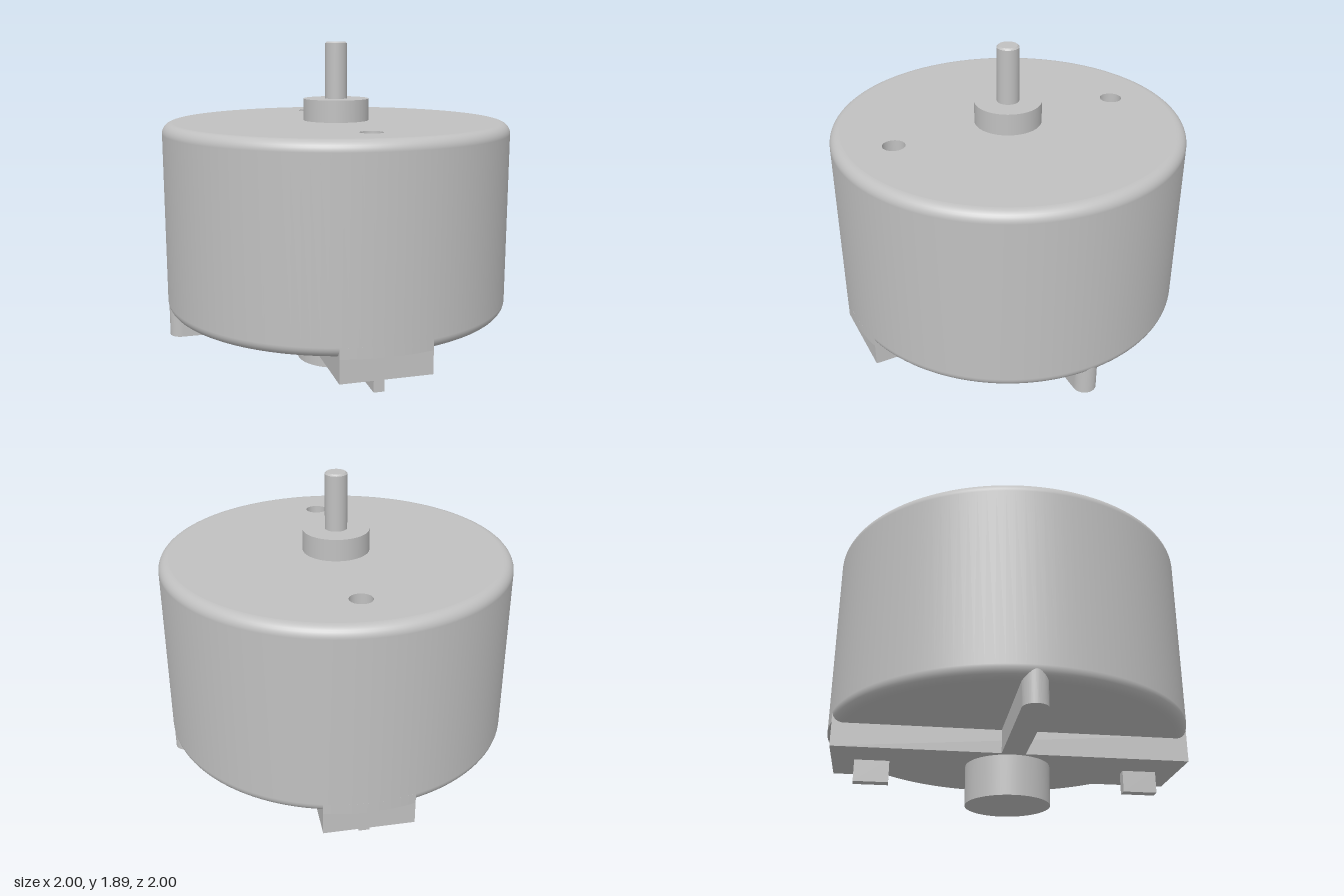
import * as THREE from 'three';

export function createModel() {
  const group = new THREE.Group();
  group.name = 'motor';
  const metal = new THREE.MeshStandardMaterial({ color: 0xc0c0c0 });
  metal.name = 'grey metal';

  const add = (name, geometry, x = 0, y = 0, z = 0) => {
    const mesh = new THREE.Mesh(geometry, metal);
    mesh.name = name;
    mesh.position.set(x, y, z);
    group.add(mesh);
    return mesh;
  };
  // Upright cylinder between two heights
  const post = (name, r, y0, y1) =>
    add(name, new THREE.CylinderGeometry(r, r, y1 - y0, 64), 0, (y0 + y1) / 2, 0);
  // Plan outline raised between two heights
  const slab = (name, shape, y0, y1, curveSegments) => {
    const g = new THREE.ExtrudeGeometry(shape, { depth: y1 - y0, bevelEnabled: false, curveSegments });
    g.rotateX(-Math.PI / 2);
    return add(name, g, 0, y0, 0);
  };

  // Can with rounded rims
  const bottom = 0.35, top = 1.44, rim = 0.06;
  const profile = [new THREE.Vector2(0, bottom), new THREE.Vector2(0.93, bottom)];
  const corner = (cy, from) => {
    for (let i = 0; i <= 8; i++) {
      const a = from + (i / 8) * Math.PI / 2;
      profile.push(new THREE.Vector2(1 - rim + rim * Math.cos(a), cy + rim * Math.sin(a)));
    }
  };
  corner(bottom + rim, -Math.PI / 2);
  corner(top - rim, 0);
  add('can', new THREE.LatheGeometry(profile, 128));

  // Top plate with two screw holes, and the floor under them
  const plate = new THREE.Shape().absarc(0, 0, 1 - rim, 0, Math.PI * 2);
  for (const s of [-1, 1]) {
    plate.holes.push(new THREE.Path().absarc(0, s * 0.685, 0.063, 0, Math.PI * 2, true));
  }
  slab('topPlate', plate, top - 0.1, top, 64);
  post('holeFloor', 0.9, top - 0.14, top - 0.1);

  // Bearing and shaft
  post('topBearing', 0.19, top - 0.02, 1.565);
  const shaft = [[0.063, 1.5], [0.063, 1.88], [0.063, 1.88], [0.053, 1.89], [0.053, 1.89], [0, 1.89]];
  add('shaft', new THREE.LatheGeometry(shaft.map(p => new THREE.Vector2(...p)), 40));
  post('bottomBearing', 0.235, 0, 0.23);

  // Wide arm of the base cross, with curved shoulders filling the lower rim
  add('wideArm', new THREE.BoxGeometry(0.5, 0.15, 1.936), 0, 0.295, 0);
  const half = Math.asin(0.25);
  const shoulder = new THREE.Shape()
    .absarc(0, 0, 1, Math.PI / 2 - half, Math.PI / 2 + half)
    .absarc(0, 0, 1, -Math.PI / 2 - half, -Math.PI / 2 + half);
  slab('armShoulders', shoulder, bottom, bottom + rim, 12);

  // Narrow arm with rounded ends
  const w = 0.065;
  const narrow = new THREE.Shape()
    .absarc(0.997 - w, 0, w, -Math.PI / 2, Math.PI / 2)
    .absarc(w - 0.997, 0, w, Math.PI / 2, Math.PI * 1.5);
  slab('narrowArm', narrow, 0.22, 0.4, 16);

  // Terminals
  for (const s of [-1, 1]) {
    add('terminal', new THREE.BoxGeometry(0.06, 0.13, 0.19), 0, 0.165, s * 0.75);
  }
  return group;
}
